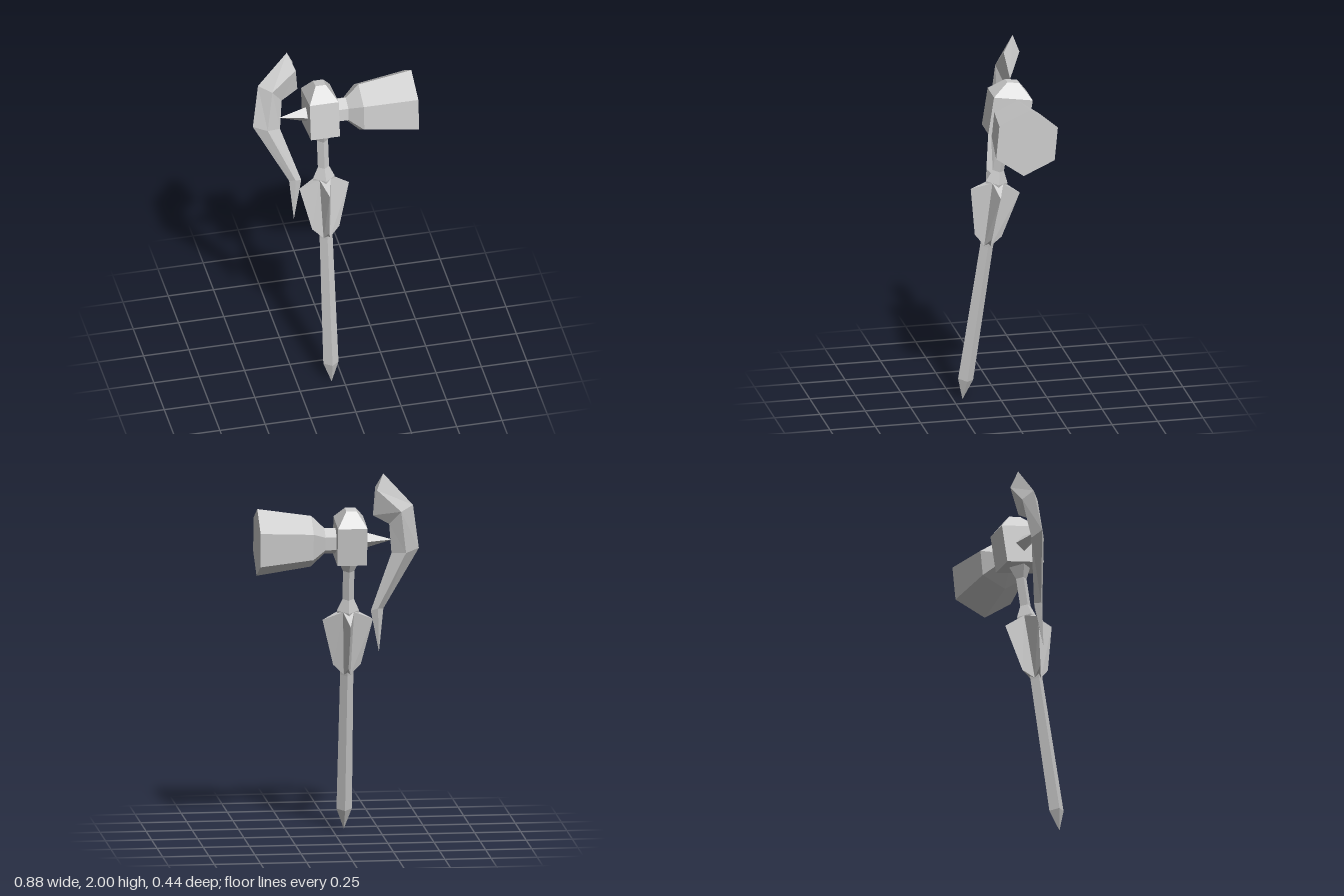
import * as THREE from 'three';

const steel = new THREE.MeshStandardMaterial({ color: 0xcccccc, flatShading: true });
steel.name = 'steel grey';

// Skin a list of equal-sized closed rings of [x, y, z], capped at both ends
function loft(name, rings) {
  const n = rings[0].length, tris = [];
  for (let i = 0; i < rings.length - 1; i++) {
    for (let j = 0; j < n; j++) {
      const k = (j + 1) % n, a = rings[i], b = rings[i + 1];
      tris.push([a[j], a[k], b[k]], [a[j], b[k], b[j]]);
    }
  }
  const first = rings[0], last = rings[rings.length - 1];
  for (let j = 1; j < n - 1; j++) {
    tris.push([first[0], first[j + 1], first[j]], [last[0], last[j], last[j + 1]]);
  }
  // Drop collapsed triangles at tips and turn the skin outward
  const pos = [];
  let volume = 0;
  const centre = new THREE.Vector3(...first[0]);
  const faces = tris.map((t) => t.map((p) => new THREE.Vector3(...p))).filter(([a, b, c]) =>
    b.clone().sub(a).cross(c.clone().sub(a)).length() > 1e-8);
  for (const [a, b, c] of faces) {
    volume += a.clone().sub(centre).dot(b.clone().sub(centre).cross(c.clone().sub(centre)));
  }
  for (const [a, b, c] of faces) {
    for (const p of volume < 0 ? [a, c, b] : [a, b, c]) pos.push(p.x, p.y, p.z);
  }
  const geo = new THREE.BufferGeometry();
  geo.setAttribute('position', new THREE.Float32BufferAttribute(pos, 3));
  geo.computeVertexNormals();
  const mesh = new THREE.Mesh(geo, steel);
  mesh.name = name;
  return mesh;
}

// Regular ring around the y axis
function ringY(n, r, y) {
  return Array.from({ length: n }, (_, i) => {
    const a = (i / n) * Math.PI * 2;
    return [r * Math.cos(a), y, r * Math.sin(a)];
  });
}

// Regular ring around the cross axis of the head
function ringX(n, r, x) {
  return Array.from({ length: n }, (_, i) => {
    const a = (i / n) * Math.PI * 2 - 0.096;
    return [x, 1.624 + r * Math.cos(a), -0.045 + r * Math.sin(a)];
  });
}

// Rectangular ring at height y
const rect = (hx, hz, y) => [[-hx, y, -hz], [hx, y, -hz], [hx, y, hz], [-hx, y, hz]];

export function createModel() {
  const model = new THREE.Group();
  model.name = 'warHammer';

  // Shaft assembly leans backward
  const shaft = new THREE.Group();
  shaft.name = 'shaftAssembly';
  shaft.position.set(-0.065, 0, 0.2);
  shaft.rotation.x = -0.152;
  model.add(shaft);

  // Four-sided handle with pointed pommel, bulge and flared top
  const handle = [[0, 0], [0.115, 0.042], [0.88, 0.036], [1.245, 0.06],
    [1.31, 0.031], [1.47, 0.031], [1.538, 0.062]];
  shaft.add(loft('handle', handle.map(([y, r]) => ringY(4, r, y))));

  // Four wedge fins around the bulge
  for (let i = 0; i < 4; i++) {
    const fin = loft('guardFin', [
      [[0.018, 0.885, -0.018], [0.018, 0.885, 0.018], [0.075, 0.937, 0]],
      [[0.03, 1.245, -0.03], [0.03, 1.245, 0.03], [0.137, 1.194, 0]],
    ]);
    fin.rotation.y = (i * Math.PI) / 2;
    shaft.add(fin);
  }

  // Head block with a truncated pyramid cap
  const block = loft('headBlock', [
    rect(0.08, 0.108, 1.536), rect(0.08, 0.108, 1.745), rect(0.028, 0.033, 1.82),
  ]);
  block.position.x = -0.005;
  shaft.add(block);

  // Six-sided hammer with neck
  const hammer = [[-0.03, 0.07], [0.07, 0.071], [0.142, 0.142], [0.435, 0.187]];
  model.add(loft('hammer', hammer.map(([x, r]) => ringX(6, r, x))));

  // Rear spike
  model.add(loft('rearSpike', [ringX(4, 0.05, -0.13), ringX(4, 0, -0.3)]));

  // Curved blade: each ring is outer edge, front ridge, inner edge, back ridge
  const tip = [-0.236, 0.994, 0.035];
  model.add(loft('curvedBlade', [
    [[-0.241, 2.0, -0.115], [-0.204, 1.916, -0.058], [-0.188, 1.767, -0.09], [-0.204, 1.914, -0.145]],
    [[-0.405, 1.82, -0.093], [-0.337, 1.8, -0.041], [-0.278, 1.715, -0.075], [-0.337, 1.79, -0.131]],
    [[-0.441, 1.577, -0.058], [-0.368, 1.566, 0.019 - 0.037], [-0.294, 1.55, -0.045], [-0.368, 1.556, -0.09]],
    [[-0.257, 1.237, 0.012], [-0.225, 1.248, 0.033], [-0.188, 1.227, 0.005], [-0.225, 1.242, -0.015]],
    [tip, tip, tip, tip],
  ]));

  return model;
}
